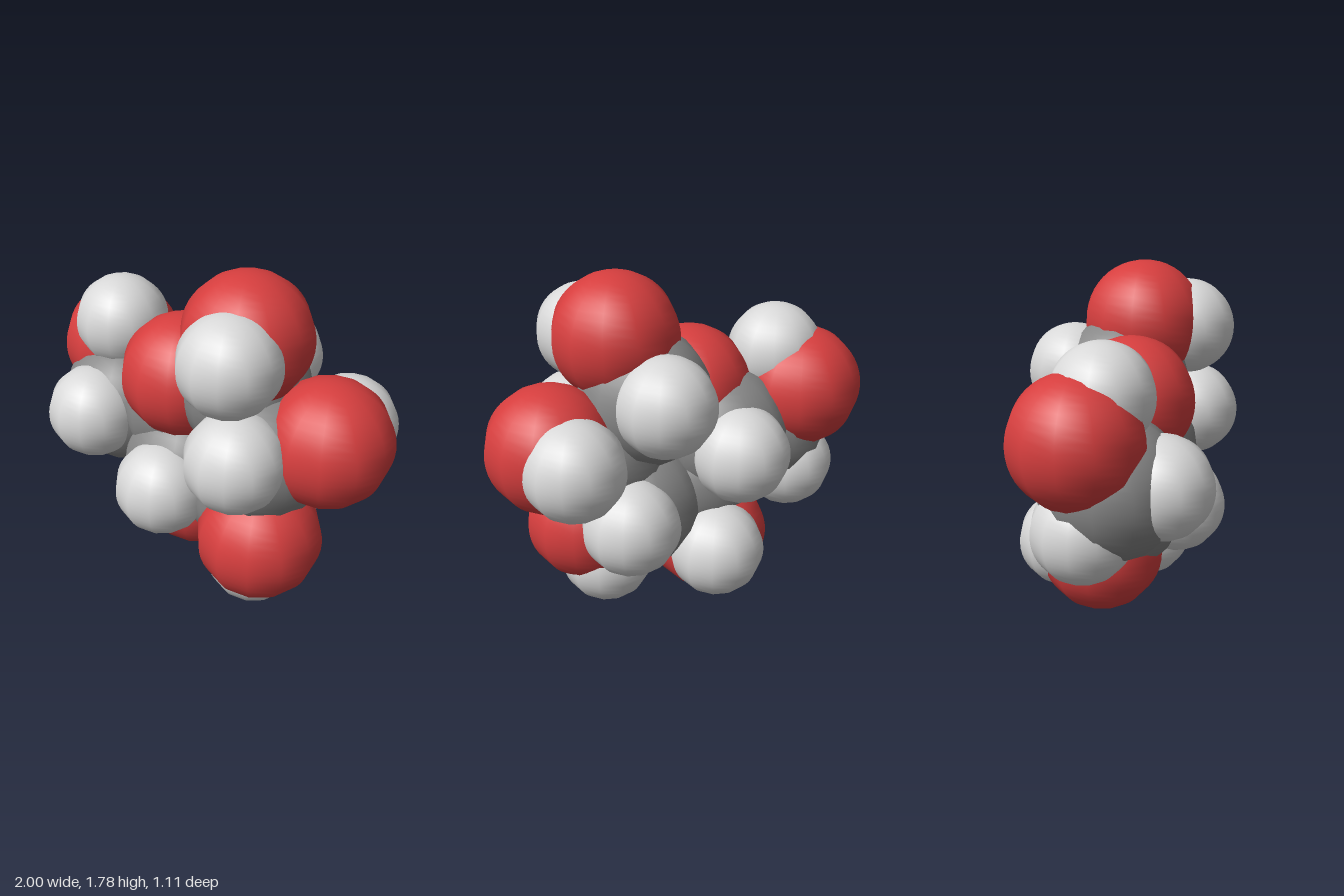
import * as THREE from 'three';

export function createModel() {
  const model = new THREE.Group();
  model.name = 'moleculeModel';

  const mat = (name, color) => {
    const m = new THREE.MeshStandardMaterial({ color });
    m.name = name;
    return m;
  };

  // One sphere size and colour per element; centres are [x, y, z]
  const elements = [
    {
      name: 'carbon', radius: 0.345, material: mat('midGrey', 0x868686),
      atoms: [
        [0.19, 1.175, -0.04],
        [0.39, 0.90, 0.04],
        [0.235, 0.61, -0.04],
        [-0.10, 0.64, 0.04],
        [-0.24, 0.915, -0.04],
        [-0.535, 0.85, 0.07],
      ],
    },
    {
      name: 'oxygen', radius: 0.315, material: mat('red', 0xd63e3e),
      atoms: [
        [0.295, 1.475, 0.05],
        [0.685, 1.015, -0.09],
        [0.465, 0.465, 0.12],
        [-0.145, 0.36, -0.075],
        [-0.10, 1.15, 0.07],
        [-0.685, 1.10, -0.05],
      ],
    },
    {
      name: 'hydrogen', radius: 0.245, material: mat('paleGrey', 0xd8d8d8),
      atoms: [
        // On the carbons, front side
        [0.445, 0.98, 0.29],
        [-0.04, 0.605, 0.295],
        [-0.53, 0.865, 0.305],
        // On the carbons, back side
        [0.18, 1.225, -0.297],
        [0.36, 0.615, -0.28],
        [-0.22, 0.90, -0.295],
        [-0.635, 0.66, -0.04],
        // On the oxygens
        [0.38, 1.445, 0.265],
        [0.64, 1.0, -0.312],
        [0.38, 0.25, 0.055],
        [-0.10, 0.375, -0.285],
        [-0.575, 1.285, 0.04],
      ],
    },
  ];

  for (const { name, radius, material, atoms } of elements) {
    const group = new THREE.Group();
    group.name = name + 'Atoms';
    const ball = new THREE.SphereGeometry(radius, 12, 24);
    atoms.forEach((centre, i) => {
      const mesh = new THREE.Mesh(ball, material);
      mesh.name = name + 'Atom' + (i + 1);
      mesh.position.set(...centre);
      group.add(mesh);
    });
    model.add(group);
  }
  return model;
}
